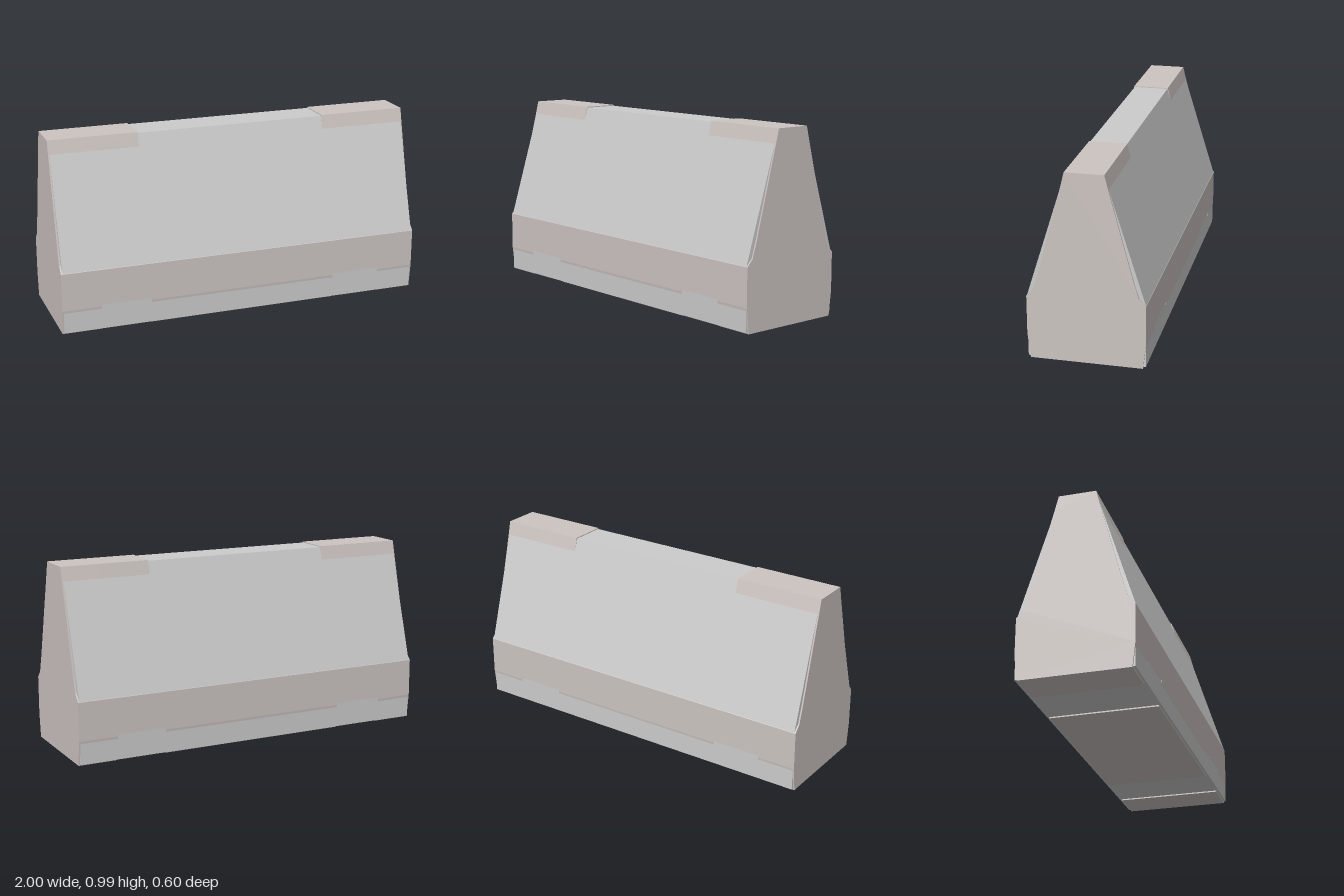
import * as THREE from 'three';

const grey = new THREE.MeshStandardMaterial({ color: 0xcccccc });
const beige = new THREE.MeshStandardMaterial({ color: 0xccc4c1 });

// Extrudes a mirrored half profile of [z, y] points from x0 to x1
function prism(name, half, x0, x1, material) {
  const points = [...half, ...half.map(([z, y]) => [-z, y]).reverse()];
  const shape = new THREE.Shape(points.map(([z, y]) => new THREE.Vector2(z, y)));
  const geometry = new THREE.ExtrudeGeometry(shape, { depth: x1 - x0, bevelEnabled: false });
  geometry.rotateY(Math.PI / 2).translate(x0, 0, 0);
  const mesh = new THREE.Mesh(geometry, material);
  mesh.name = name;
  return mesh;
}

export function createModel() {
  const group = new THREE.Group();
  group.name = 'barrier';

  // Outer shell with the long sloping sides
  const shell = [[0.2985, 0.007], [0.2985, 0.334], [0.095, 0.985]];
  group.add(prism('outerShell', shell, -0.992, 0.992, grey));

  // Inner body: surfaces at the end faces, lower band, feet and top corners
  const foot = [[0.285, 0], [0.3, 0.13]];
  const raised = [[0.3, 0.14]];
  const shoulder = [[0.3, 0.333], [0.265, 0.37], [0.24, 0.45], [0.118, 0.91]];
  const crest = [[0.098, 0.99]];
  const centre = [...foot, ...shoulder];
  group.add(prism('centreBody', centre, -0.52, 0.52, beige));

  // Pocket and end sections on both sides
  for (const side of [-1, 1]) {
    const add = (name, half, a, b) => group.add(
      prism(name, half, Math.min(side * a, side * b), Math.max(side * a, side * b), beige));
    add('pocketSection', [...raised, ...shoulder, ...crest], 0.52, 0.79);
    add('endSection', [...foot, ...shoulder, ...crest], 0.79, 1);
  }
  return group;
}
